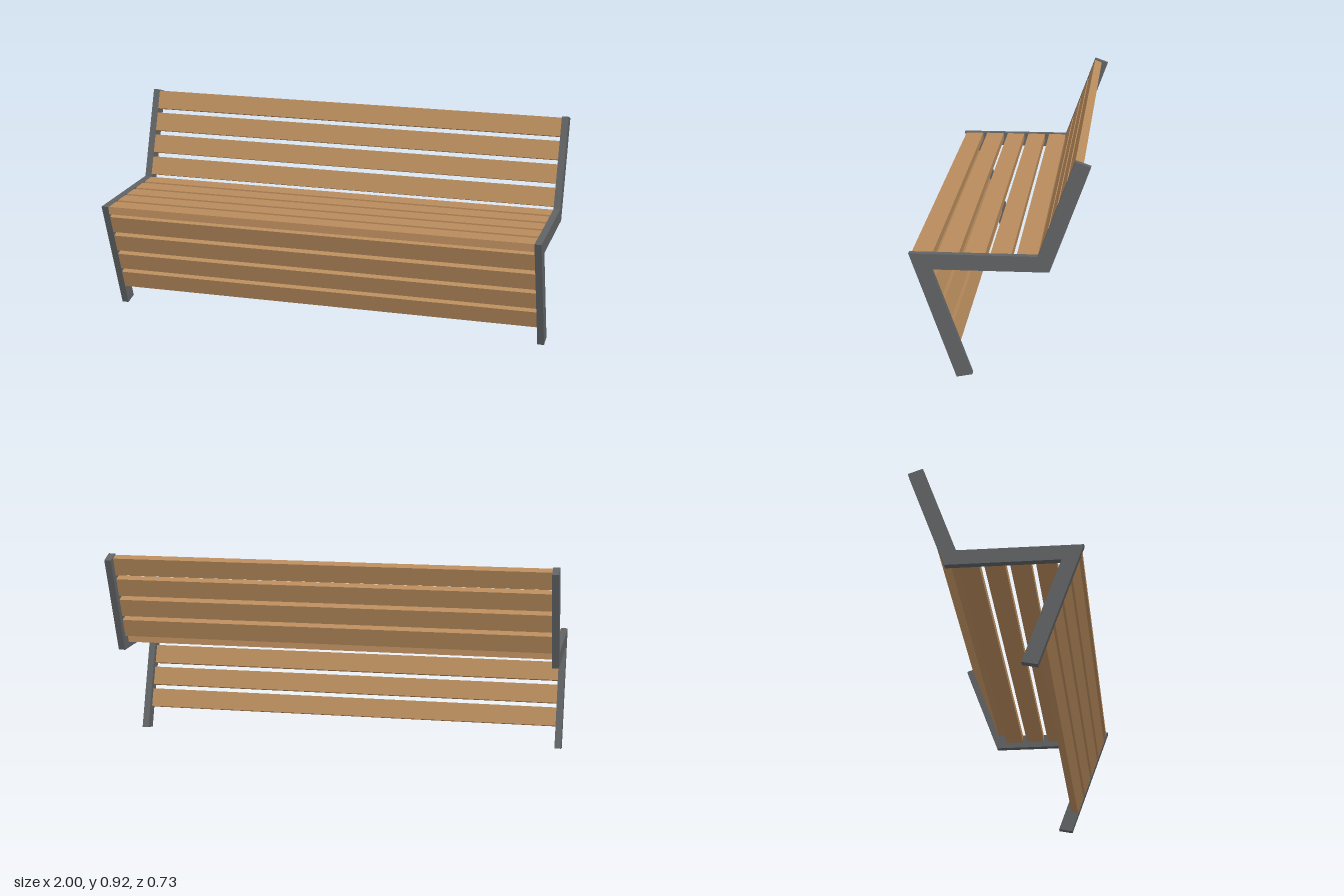
import * as THREE from 'three';

const FRAME_W = 0.03, SLAT_W = 0.085, SLAT_T = 0.035, PITCH = 0.106;

// Side profile of the end frame as [z, y]
const PROFILE = [
  [0.175, 0], [0.365, 0.525], [-0.155, 0.525], [-0.3, 0.92],
  [-0.363, 0.898], [-0.202, 0.46], [0.273, 0.46], [0.11, 0.013],
];

export function createModel() {
  const bench = new THREE.Group();
  bench.name = 'bench';
  const metal = new THREE.MeshStandardMaterial({ color: 0x606264 });
  const wood = new THREE.MeshStandardMaterial({ color: 0xb88b5c });

  // End frames: a zigzag bar cut from one plate
  const shape = new THREE.Shape(PROFILE.map(([z, y]) => new THREE.Vector2(z, y)));
  const frameGeo = new THREE.ExtrudeGeometry(shape, { depth: FRAME_W, bevelEnabled: false });
  frameGeo.translate(0, 0, -FRAME_W / 2).rotateY(-Math.PI / 2);
  for (const side of [1, -1]) {
    const frame = new THREE.Mesh(frameGeo, metal);
    frame.name = side > 0 ? 'leftFrame' : 'rightFrame';
    frame.position.x = side * (1 - FRAME_W / 2);
    bench.add(frame);
  }

  // A row of slats running along the outer edge a -> b, set just inside it;
  // inward is to the right of the direction of travel in (z, y)
  const slatGeo = new THREE.BoxGeometry(2 - 2 * FRAME_W, SLAT_T, SLAT_W);
  function slatRow(name, a, b, start, count) {
    const row = new THREE.Group();
    row.name = name;
    const dir = new THREE.Vector2(b[0] - a[0], b[1] - a[1]).normalize();
    const inward = new THREE.Vector2(-dir.y, dir.x);
    for (let i = 0; i < count; i++) {
      const along = start + i * PITCH + SLAT_W / 2;
      const deep = SLAT_T / 2 + 0.002;
      const slat = new THREE.Mesh(slatGeo, wood);
      slat.name = name + 'Slat' + (i + 1);
      slat.position.set(0,
        a[1] + dir.y * along + inward.y * deep,
        a[0] + dir.x * along + inward.x * deep);
      slat.rotation.x = Math.atan2(-dir.y, dir.x);
      row.add(slat);
    }
    bench.add(row);
  }

  const [foot, nose, bend, top] = PROFILE;
  // Each row is walked so the frame body lies on the inward side
  slatRow('front', foot, nose, 0.097, 4);
  slatRow('seat', nose, bend, 0.01, 5);
  slatRow('back', bend, top, 0.012, 4);

  return bench;
}
